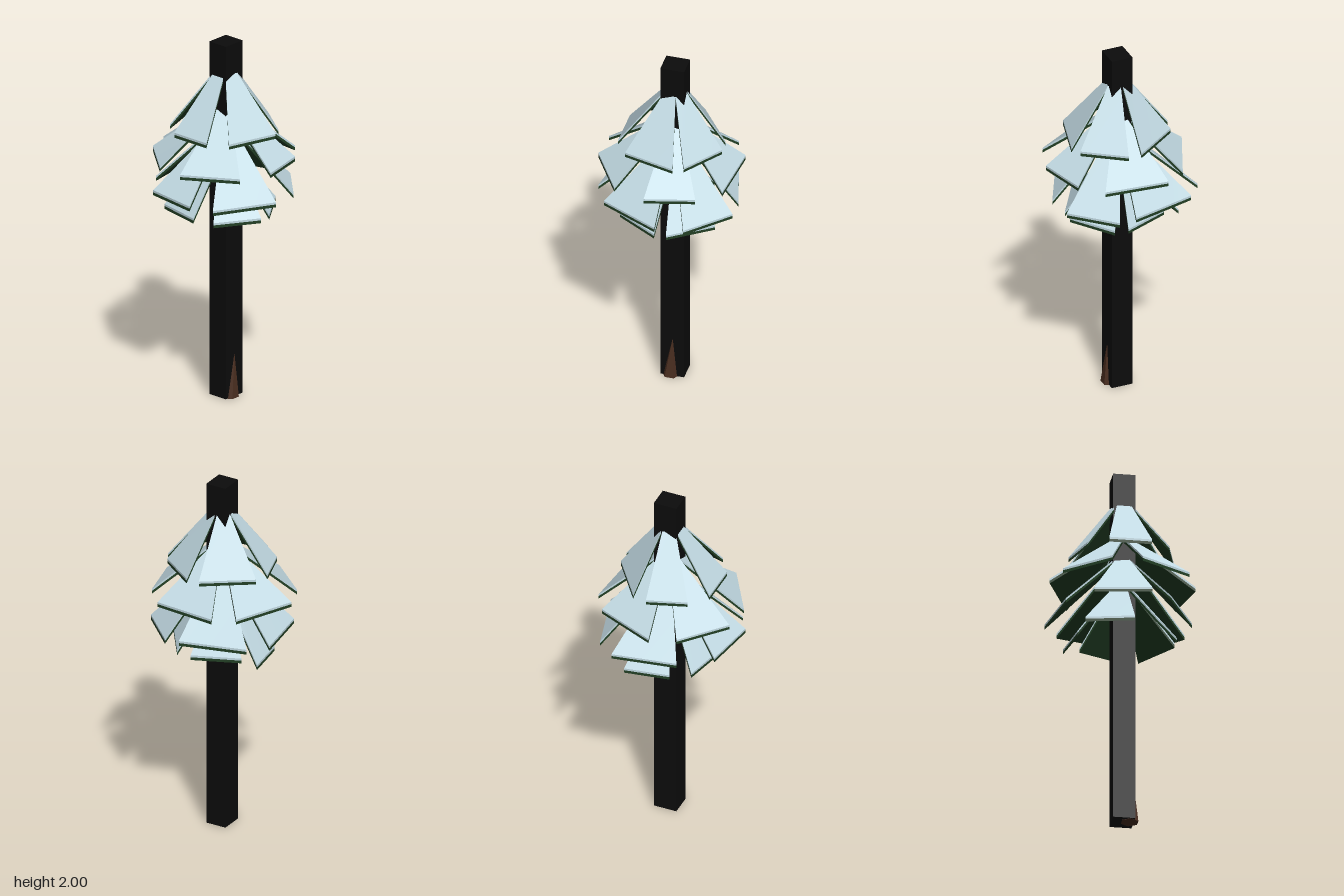
import * as THREE from 'three';

const mat = (name, color) => {
  const m = new THREE.MeshStandardMaterial({ color });
  m.name = name;
  return m;
};

const CX = 0.006, CZ = -0.027; // trunk axis
const SNOW = 0.012, LEAF = 0.016; // layer thicknesses

// Each tier: height of the inner end, then per bough the two outer corners and their height [x1, z1, x2, z2, y]
const TIERS = [
  { top: 1.83, boughs: [
    [-0.107, 0.253, 0.122, 0.253, 1.53], [0.30, -0.095, 0.223, 0.187, 1.53], [0.06, -0.30, 0.272, -0.148, 1.53],
    [-0.26, -0.12, -0.015, -0.298, 1.53], [-0.28, -0.038, -0.21, 0.172, 1.53]] },
  { top: 1.63, boughs: [
    [-0.39, 0.025, -0.25, -0.305, 1.37], [-0.34, 0.165, -0.107, 0.367, 1.37], [0.052, 0.382, 0.328, 0.217, 1.37],
    [0.32, -0.225, 0.387, 0.04, 1.37], [-0.138, -0.373, 0.213, -0.343, 1.37]] },
  { top: 1.51, boughs: [
    [-0.197, 0.32, 0.105, 0.367, 1.2], [0.215, 0.305, 0.375, -0.015, 1.185], [0.145, -0.38, 0.36, -0.17, 1.185],
    [-0.305, -0.29, 0.055, -0.387, 1.2], [-0.385, -0.19, -0.325, 0.158, 1.2]] },
  { top: 1.35, boughs: [
    [-0.225, 0.2, 0.03, 0.255, 1.08], [0.155, 0.235, 0.292, 0.01, 1.08], [0.29, -0.055, 0.13, -0.28, 1.08],
    [-0.2, -0.17, 0.05, -0.275, 1.07], [-0.29, -0.16, -0.25, 0.085, 1.05]] },
];

// Tapered sloping slab: a box whose +z end is the outer edge and -z end the narrow edge at the trunk
function slab([x1, z1, x2, z2, yOut], yIn, from, to) {
  const out = new THREE.Vector2((x1 + x2) / 2 - CX, (z1 + z2) / 2 - CZ).normalize();
  const side = new THREE.Vector2(out.y, -out.x);
  const swap = (x1 - x2) * side.x + (z1 - z2) * side.y < 0;
  const geo = new THREE.BoxGeometry(1, 1, 1);
  const p = geo.attributes.position;
  for (let i = 0; i < p.count; i++) {
    const s = Math.sign(p.getX(i)), drop = p.getY(i) > 0 ? from : to;
    if (p.getZ(i) > 0) {
      const first = (s > 0) !== swap;
      p.setXYZ(i, first ? x1 : x2, yOut - drop, first ? z1 : z2);
    } else {
      const w = s * 0.036;
      p.setXYZ(i, CX + out.x * 0.055 + side.x * w, yIn - drop, CZ + out.y * 0.055 + side.y * w);
    }
  }
  geo.computeVertexNormals();
  return geo;
}

export function createModel() {
  const snow = mat('snow', 0xc2dae3);
  const needles = mat('needles', 0x223f24);
  const bark = mat('bark', 0x0c0c0c);
  const rootWood = mat('rootWood', 0x4a2e20);

  const tree = new THREE.Group();
  tree.name = 'snowyPine';
  const add = (parent, name, geo, material) => {
    const mesh = new THREE.Mesh(geo, material);
    mesh.name = name;
    parent.add(mesh);
    return mesh;
  };

  // Square trunk
  add(tree, 'trunk', new THREE.BoxGeometry(0.118, 1.998, 0.13), bark).position.set(CX, 1.001, CZ);

  // Small root spike, leaning with its tip against the +x side of the trunk
  const spike = new THREE.ConeGeometry(0.05, 0.25, 6).toNonIndexed();
  const p = spike.attributes.position;
  for (let i = 0; i < p.count; i++) {
    const t = (p.getY(i) + 0.125) / 0.25;
    p.setXYZ(i, p.getX(i) + 0.043 + 0.021 * t, 0.25 * t, p.getZ(i) - 0.016 - 0.014 * t);
  }
  spike.computeVertexNormals();
  add(tree, 'root', spike, rootWood);

  // Tiers of boughs, each a green slab with a layer of snow on top
  TIERS.forEach(({ top, boughs }, t) => {
    const tier = new THREE.Group();
    tier.name = `boughTier${t + 1}`;
    tree.add(tier);
    for (const b of boughs) {
      add(tier, 'boughSnow', slab(b, top, 0, SNOW), snow);
      add(tier, 'boughNeedles', slab(b, top, SNOW, SNOW + LEAF), needles);
    }
  });
  return tree;
}
